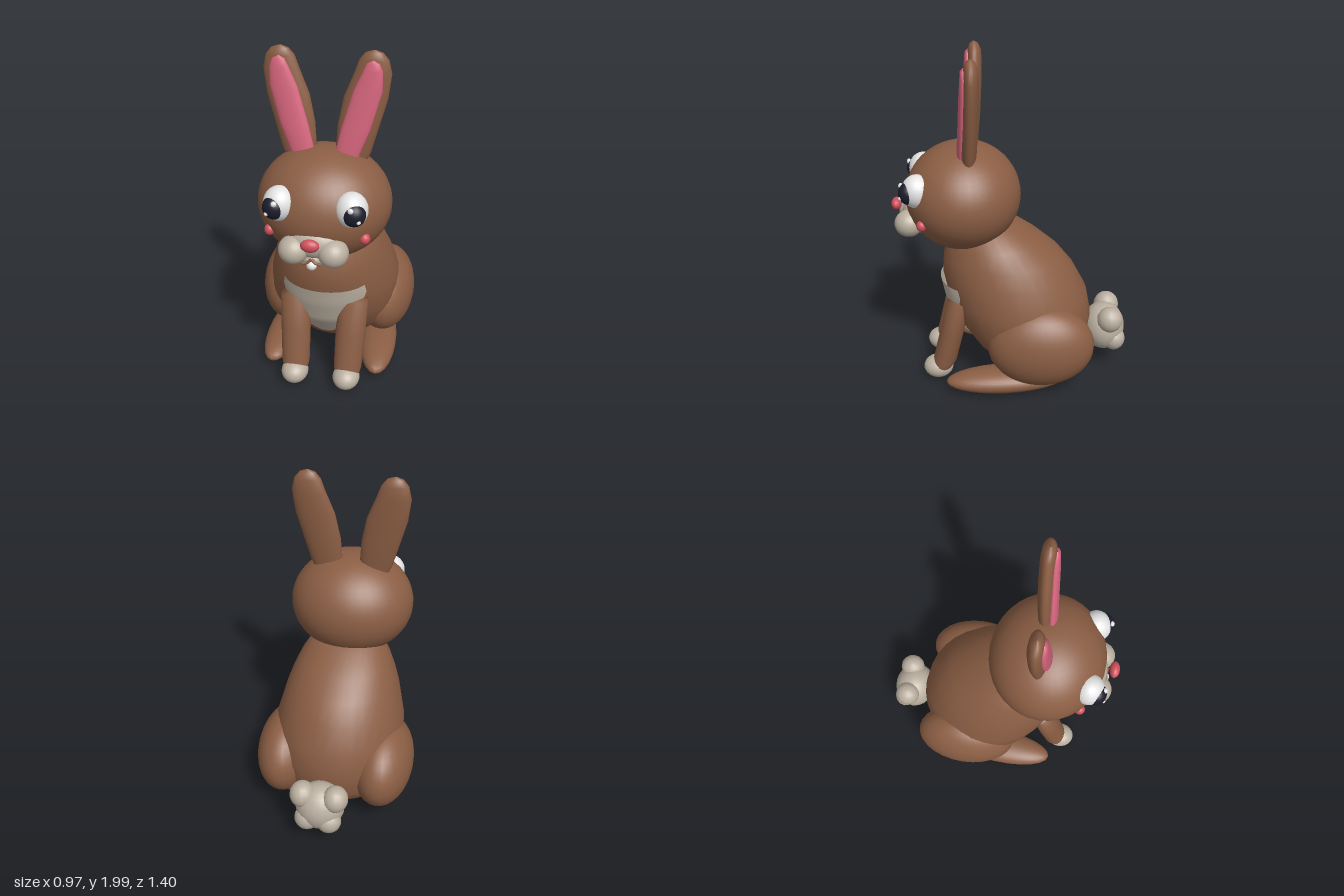
import * as THREE from 'three';

const paint = (name, color, side = THREE.FrontSide) => {
  const m = new THREE.MeshStandardMaterial({ color, side });
  m.name = name;
  return m;
};

// Smooth surface through elliptical sections [y, centreX, radiusX, centreZ, radiusZ]
function loft(rows, sides = 32) {
  const pos = [], idx = [];
  rows.forEach(([y, cx, rx, cz, rz], i) => {
    for (let j = 0; j < sides; j++) {
      const a = (j / sides) * Math.PI * 2;
      pos.push(cx + rx * Math.cos(a), y, cz + rz * Math.sin(a));
      if (i === rows.length - 1) continue;
      const k = (j + 1) % sides, p = i * sides, q = p + sides;
      idx.push(p + j, q + j, p + k, q + j, q + k, p + k);
    }
  });
  return surface(pos, idx);
}

function surface(pos, idx) {
  const g = new THREE.BufferGeometry();
  g.setAttribute('position', new THREE.Float32BufferAttribute(pos, 3));
  g.setIndex(idx);
  g.computeVertexNormals();
  return g;
}

const bodyRows = [
  [0.025, 0, 0.004, -0.14, 0.004],
  [0.035, 0, 0.13, -0.14, 0.12],
  [0.09, 0, 0.25, -0.13, 0.22],
  [0.17, 0, 0.33, -0.135, 0.285],
  [0.25, 0, 0.37, -0.11, 0.35],
  [0.4, 0, 0.4, -0.07, 0.41],
  [0.55, 0, 0.39, -0.03, 0.42],
  [0.7, 0, 0.35, 0.025, 0.395],
  [0.8, 0, 0.315, 0.06, 0.35],
  [0.9, 0, 0.27, 0.105, 0.275],
  [1.0, 0, 0.2, 0.155, 0.175],
  [1.06, 0, 0.004, 0.17, 0.004],
];

// Linear lookup in a table whose first column is y
function sample(rows, y) {
  let i = 0;
  while (i < rows.length - 2 && rows[i + 1][0] < y) i++;
  const t = (y - rows[i][0]) / (rows[i + 1][0] - rows[i][0]);
  return rows[i].map((v, k) => v + (rows[i + 1][k] - v) * t);
}

// Chest patch that hugs the front of the body
function chestGeometry() {
  const widths = [[0.25, 0.05], [0.3, 0.12], [0.4, 0.18], [0.5, 0.21], [0.6, 0.245], [0.655, 0.235]];
  const pos = [], idx = [], nx = 16, ny = 16;
  for (let i = 0; i <= ny; i++) {
    const y = 0.25 + (0.405 * i) / ny;
    const [, , rx, cz, rz] = sample(bodyRows, y);
    const w = sample(widths, y)[1];
    for (let j = 0; j <= nx; j++) {
      const u = (j / nx) * 2 - 1, x = u * w;
      const lift = 0.02 * (1 - u ** 6) + 0.004;
      pos.push(x, y, cz + rz * Math.sqrt(1 - (x / rx) ** 2) + lift);
      if (i === ny || j === nx) continue;
      const p = i * (nx + 1) + j, q = p + nx + 1;
      idx.push(p, p + 1, q, p + 1, q + 1, q);
    }
  }
  return surface(pos, idx);
}

export function createModel() {
  const fur = paint('brown fur', 0x8b5e44);
  const cream = paint('cream fur', 0xbbb0a1, THREE.DoubleSide);
  const pink = paint('ear pink', 0xd9677f);
  const red = paint('nose red', 0xd0505c);
  const white = paint('eye white', 0xe4e4e4);
  const black = paint('pupil black', 0x1b1d2b);

  const model = new THREE.Group();
  model.name = 'rabbit';
  const add = (name, geometry, material) => {
    const m = new THREE.Mesh(geometry, material);
    m.name = name;
    model.add(m);
    return m;
  };
  const ball = (name, material, [x, y, z], [rx, ry, rz], detail = 24) => {
    const m = add(name, new THREE.SphereGeometry(1, detail, Math.ceil(detail * 0.7)), material);
    m.position.set(x, y, z);
    m.scale.set(rx, ry, rz);
    return m;
  };

  // Torso and head
  add('body', loft(bodyRows), fur);
  add('chestPatch', chestGeometry(), cream);
  ball('head', fur, [0, 1.17, 0.285], [0.368, 0.312, 0.333], 36);

  // Muzzle, nose and tooth
  ball('muzzle', cream, [0, 1.065, 0.55], [0.15, 0.095, 0.09]);
  ball('chin', cream, [0, 0.98, 0.555], [0.09, 0.045, 0.07]);
  ball('nose', red, [0, 1.11, 0.675], [0.05, 0.035, 0.03], 16);
  ball('tooth', white, [0, 0.968, 0.638], [0.028, 0.026, 0.025], 12);

  // Tail
  ball('tail', cream, [0, 0.275, -0.57], [0.145, 0.15, 0.13], 20);

  for (const s of [1, -1]) {
    const side = s > 0 ? 'left' : 'right';

    // Ears with pink insides
    add(side + 'Ear', loft([
      [1.36, s * 0.13, 0.07, 0.24, 0.03],
      [1.45, s * 0.145, 0.095, 0.24, 0.042],
      [1.6, s * 0.17, 0.11, 0.23, 0.045],
      [1.75, s * 0.205, 0.115, 0.222, 0.045],
      [1.88, s * 0.238, 0.096, 0.215, 0.042],
      [1.95, s * 0.242, 0.075, 0.215, 0.038],
      [1.985, s * 0.242, 0.045, 0.217, 0.025],
      [2.0, s * 0.242, 0.003, 0.218, 0.003],
    ], 24), fur);
    add(side + 'InnerEar', loft([
      [1.4, s * 0.115, 0.06, 0.28, 0.025],
      [1.46, s * 0.122, 0.067, 0.281, 0.028],
      [1.6, s * 0.165, 0.077, 0.272, 0.026],
      [1.8, s * 0.22, 0.074, 0.258, 0.025],
      [1.9, s * 0.242, 0.05, 0.252, 0.022],
      [1.94, s * 0.242, 0.032, 0.252, 0.018],
      [1.955, s * 0.242, 0.003, 0.252, 0.003],
    ], 20), pink);

    // Eyes
    ball(side + 'Eye', white, [s * 0.188, 1.26, 0.53], [0.087, 0.096, 0.086]);
    ball(side + 'Pupil', black, [s * 0.207, 1.257, 0.573], [0.062, 0.065, 0.057]);
    ball(side + 'EyeGlint', white, [s * 0.197, 1.297, 0.615], [0.016, 0.016, 0.014], 10);
    ball(side + 'SmallGlint', white, [s * 0.238, 1.238, 0.616], [0.012, 0.012, 0.012], 10);

    // Cheeks and mouth corners
    ball(side + 'Cheek', cream, [s * 0.105, 1.03, 0.595], [0.082, 0.078, 0.083]);
    ball(side + 'Blush', red, [s * 0.255, 1.08, 0.505], [0.03, 0.032, 0.03], 14);
    const mouth = new THREE.CatmullRomCurve3([
      new THREE.Vector3(0, 1.01, 0.64),
      new THREE.Vector3(s * 0.02, 0.99, 0.645),
      new THREE.Vector3(s * 0.05, 0.985, 0.65),
    ]);
    add(side + 'MouthCorner', new THREE.TubeGeometry(mouth, 8, 0.008, 8), fur);

    // Front leg and paw
    add(side + 'FrontLeg', loft([
      [0.08, s * 0.155, 0.07, 0.44, 0.06],
      [0.14, s * 0.157, 0.083, 0.415, 0.072],
      [0.35, s * 0.163, 0.088, 0.365, 0.072],
      [0.555, s * 0.175, 0.083, 0.322, 0.066],
      [0.57, s * 0.175, 0.003, 0.32, 0.003],
    ], 20), fur);
    ball(side + 'FrontPaw', cream, [s * 0.155, 0.083, 0.458], [0.08, 0.07, 0.09]);

    // Hind leg
    ball(side + 'Thigh', fur, [s * 0.3, 0.325, -0.165], [0.184, 0.255, 0.314], 28);
    const foot = ball(side + 'HindFoot', fur, [s * 0.29, 0.082, 0.04], [0.115, 0.072, 0.36]);
    foot.rotation.y = s * 0.08;

    // Tail tufts
    ball(side + 'TailTuft', cream, [s * 0.098, 0.37, -0.595], [0.075, 0.08, 0.078], 14);
    ball(side + 'LowerTuft', cream, [s * 0.065, 0.22, -0.63], [0.075, 0.075, 0.07], 14);
  }
  return model;
}
